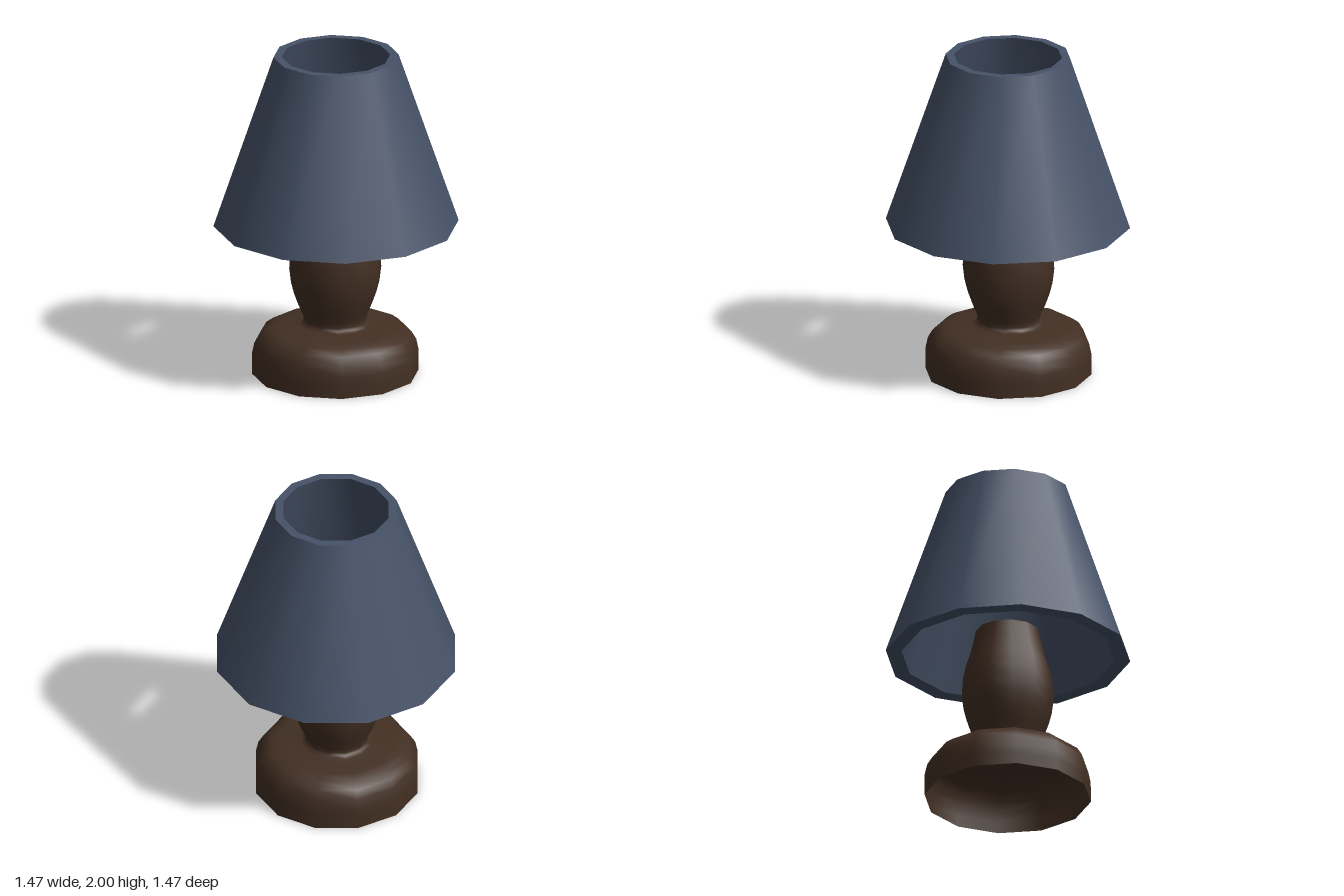
import * as THREE from 'three';

const SIDES = 12;

export function createModel() {
  const lamp = new THREE.Group();
  lamp.name = 'tableLamp';

  const wood = new THREE.MeshStandardMaterial({ color: 0x422f23, side: THREE.DoubleSide });
  wood.name = 'dark brown wood';
  const fabric = new THREE.MeshStandardMaterial({ color: 0x465268, side: THREE.DoubleSide });
  fabric.name = 'slate blue fabric';

  const add = (parent, name, geometry, material, y = 0) => {
    const mesh = new THREE.Mesh(geometry, material);
    mesh.name = name;
    mesh.position.y = y;
    parent.add(mesh);
    return mesh;
  };

  // Hollow turned body: rounded foot, pinched neck and bulging stem, open at both ends
  const profile = [
    [0.5, 0], [0.5, 0.07], [0.499, 0.13], [0.485, 0.195], [0.455, 0.245], [0.41, 0.278],
    [0.35, 0.293], [0.28, 0.3], [0.215, 0.306], [0.193, 0.318], [0.187, 0.335], [0.193, 0.365],
    [0.222, 0.43], [0.247, 0.5], [0.265, 0.57], [0.276, 0.66], [0.269, 0.77], [0.251, 0.86],
    [0.225, 0.94], [0.203, 1.03], [0.192, 1.09],
  ].map(([r, y]) => new THREE.Vector2(r, y));
  const body = add(lamp, 'baseAndStem', new THREE.LatheGeometry(profile, SIDES), wood);
  body.position.x = -0.005;

  // Thick-walled conical shade, open at top and bottom
  const shade = new THREE.Group();
  shade.name = 'lampshade';
  lamp.add(shade);
  const bottom = 0.94, top = 2, height = top - bottom;
  const wall = (rTop, rBottom) =>
    new THREE.CylinderGeometry(rTop, rBottom, height, SIDES, 1, true);
  add(shade, 'shadeOuterWall', wall(0.375, 0.735), fabric, bottom + height / 2);
  add(shade, 'shadeInnerWall', wall(0.325, 0.64), fabric, bottom + height / 2);

  // Flat rims joining the two walls
  const rim = (inner, outer, tilt) => new THREE.RingGeometry(inner, outer, SIDES).rotateX(tilt);
  add(shade, 'shadeTopRim', rim(0.325, 0.375, -Math.PI / 2), fabric, top);
  add(shade, 'shadeBottomRim', rim(0.64, 0.735, Math.PI / 2), fabric, bottom);

  return lamp;
}
